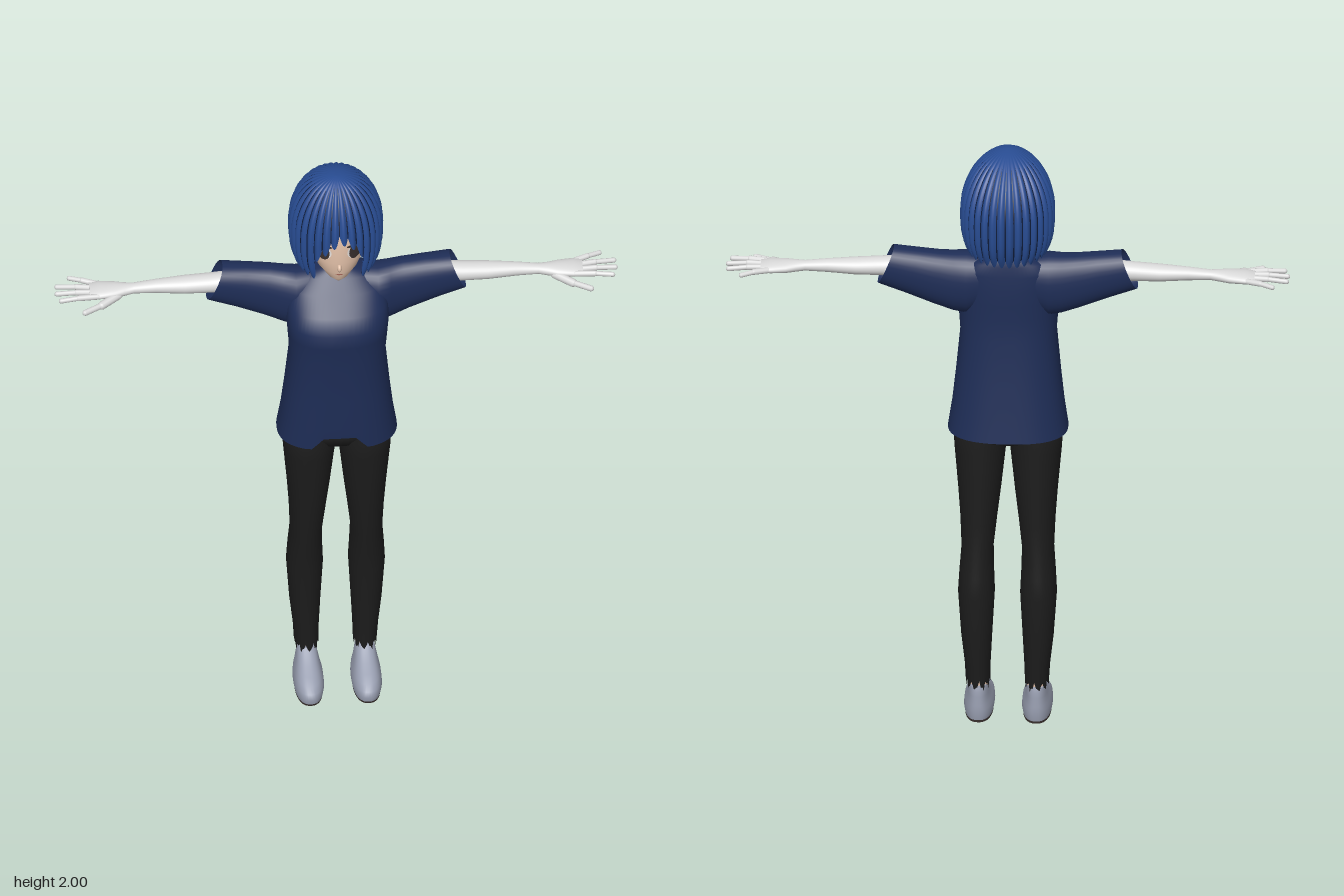
import * as THREE from 'three';

const mat = (name, color, side = THREE.FrontSide) => {
  const m = new THREE.MeshStandardMaterial({ color, side });
  m.name = name;
  return m;
};

// Skin over a list of rings (arrays of Vector3), with optional end caps
function loft(rings, capStart = false, capEnd = false) {
  const n = rings[0].length, pos = [], idx = [];
  rings.forEach(r => r.forEach(p => pos.push(p.x, p.y, p.z)));
  for (let i = 0; i < rings.length - 1; i++)
    for (let j = 0; j < n; j++) {
      const a = i * n + j, b = i * n + (j + 1) % n;
      idx.push(a, a + n, b, b, a + n, b + n);
    }
  const cap = (ring, flip) => {
    const c = ring.reduce((s, p) => s.add(p), new THREE.Vector3()).divideScalar(n);
    const o = pos.length / 3;
    [c, ...ring].forEach(p => pos.push(p.x, p.y, p.z));
    for (let j = 0; j < n; j++) {
      const a = o + 1 + j, b = o + 1 + (j + 1) % n;
      idx.push(o, ...(flip ? [a, b] : [b, a]));
    }
  };
  if (capStart) cap(rings[0], true);
  if (capEnd) cap(rings[rings.length - 1], false);
  const g = new THREE.BufferGeometry();
  g.setAttribute('position', new THREE.Float32BufferAttribute(pos, 3));
  g.setIndex(idx);
  g.computeVertexNormals();
  return g;
}

const pw = (v, e) => Math.sign(v) * Math.abs(v) ** (2 / e);
// Level ring at height y, filling x0..x1 and z0..z1
function levelRing([y, x0, x1, z0, z1], e = 2, n = 48) {
  return Array.from({ length: n }, (_, j) => {
    const t = j / n * Math.PI * 2;
    return new THREE.Vector3((x0 + x1) / 2 + (x1 - x0) / 2 * pw(Math.cos(t), e), y,
      (z0 + z1) / 2 + (z1 - z0) / 2 * pw(Math.sin(t), e));
  });
}
// Upright ring at x, filling y0..y1 and z0..z1, leaning by slant
function sideRing([x, y0, y1, z0, z1, slant = 0], e = 2, n = 32) {
  return Array.from({ length: n }, (_, j) => {
    const t = j / n * Math.PI * 2, dy = (y1 - y0) / 2 * pw(Math.sin(t), e);
    return new THREE.Vector3(x - slant * dy, (y0 + y1) / 2 + dy,
      (z0 + z1) / 2 + (z1 - z0) / 2 * pw(Math.cos(t), e));
  });
}

// Head sections: height, half width, back z, front z
const HEAD = [[1.655, .012, .075, .115], [1.668, .035, .03, .126], [1.70, .066, -.03, .136], [1.74, .09, -.08, .14],
  [1.79, .105, -.12, .139], [1.85, .11, -.13, .134], [1.91, .1, -.12, .114], [1.955, .06, -.08, .07], [1.97, .02, -.03, .02]];
function faceZ(x, y) {
  const i = Math.max(1, HEAD.findIndex(s => s[0] >= y)), a = HEAD[i - 1], b = HEAD[i];
  const [, w, z0, z1] = a.map((v, k) => THREE.MathUtils.lerp(v, b[k], (y - a[0]) / (b[0] - a[0])));
  return (z0 + z1) / 2 + (z1 - z0) / 2 * Math.sqrt(Math.max(0, 1 - (x / w) ** 2));
}
// Thin oval patch that follows the face
function facePatch(x, y, rx, ry, lift) {
  const g = new THREE.CircleGeometry(1, 28).scale(rx, ry, 1).translate(x, y, 0), p = g.attributes.position;
  for (let i = 0; i < p.count; i++) p.setZ(i, faceZ(p.getX(i), p.getY(i)) + lift);
  g.computeVertexNormals();
  return g;
}

// Bob haircut: ridged dome whose hem rises over the face
function hairShell(scale, depth, raise) {
  const cols = 256, rows = 22, rings = [];
  for (let i = 0; i <= rows; i++) {
    const v = 1 - i / rows, ring = [];
    for (let j = 0; j < cols; j++) {
      let a = j / cols * Math.PI * 2;
      const ridge = Math.abs(Math.sin(a * 16));
      if (a > Math.PI) a -= Math.PI * 2;
      let hem = 1.685 - .028 * ridge;
      if (Math.abs(a) < .59) {
        hem = 1.85 - .028 * ridge - .09 * (a / .59) ** 2;
        if (a < 0) hem -= .02 * Math.sin(-a / .59 * Math.PI);
      }
      const y = 2 - (2 - hem - raise) * (1 - Math.cos(v * Math.PI / 2)) - (1 - scale) * .15;
      const f = y > 1.8 ? Math.sqrt(Math.max(0, 1 - ((y - 1.8) / .2) ** 2)) : 1 - .18 * ((1.8 - y) / .145) ** 3;
      const r = f * scale * (1 - depth * Math.min(1, v * 3) * (1 - ridge));
      ring.push(new THREE.Vector3(Math.sin(a) * .15 * r, y, .02 - .032 * f + Math.cos(a) * .169 * r));
    }
    // reversed so the faces turn outward
    rings.push(ring.reverse());
  }
  return loft(rings);
}

export function createModel() {
  const M = {
    hair: mat('hair blue', 0x284c92, THREE.DoubleSide),
    hairDark: mat('hair shadow navy', 0x0f1c3a, THREE.DoubleSide),
    shirt: mat('shirt navy', 0x1e2d56, THREE.DoubleSide),
    pants: mat('trouser black', 0x1c1c1c, THREE.DoubleSide),
    arm: mat('arm pale grey', 0xd9d9d9),
    skin: mat('skin', 0xe2c0a8),
    shoe: mat('shoe grey', 0x989eb0),
    sole: mat('dark brown grey', 0x3a302e),
    white: mat('eye white', 0xf0ebe8),
    lip: mat('lip', 0xb87464)
  };
  const model = new THREE.Group();
  model.name = 'standingFigure';
  const add = (parent, name, geo, material) => {
    const m = new THREE.Mesh(geo, material);
    m.name = name;
    parent.add(m);
    return m;
  };

  // Head, neck and face
  const head = new THREE.Group();
  head.name = 'head';
  model.add(head);
  add(head, 'face', loft(HEAD.map(([y, w, z0, z1]) => levelRing([y, -w, w, z0, z1])), true, true), M.skin);
  add(head, 'neck', new THREE.CylinderGeometry(.034, .042, .16, 24).translate(0, 1.64, 0), M.skin);
  add(head, 'nose', new THREE.SphereGeometry(1, 16, 12).scale(.008, .014, .014).translate(0, 1.722, .138), M.skin);
  add(head, 'mouth', facePatch(0, 1.695, .012, .003, .003), M.lip);
  for (const s of [-1, 1]) {
    add(head, 'eyeWhite', facePatch(s * .053, 1.779, .028, .026, .003), M.white);
    add(head, 'iris', facePatch(s * .051, 1.779, .02, .027, .005), M.sole);
    add(head, 'upperLash', facePatch(s * .054, 1.805, .031, .006, .007), M.sole);
  }
  add(head, 'hairStrands', hairShell(1, .07, 0), M.hair);
  add(head, 'hairUnderlayer', hairShell(.945, 0, .012), M.hairDark);

  // Shirt body with a raised front hem
  const body = [[1.015, .19, -.115, .162], [1.1, .177, -.103, .165], [1.2, .166, -.09, .166], [1.35, .152, -.072, .17],
    [1.43, .158, -.07, .182], [1.48, .162, -.07, .184], [1.53, .16, -.07, .155], [1.58, .148, -.066, .1],
    [1.615, .115, -.062, .06], [1.637, .055, -.055, .042]]
    .map(([y, w, z0, z1]) => levelRing([y, -w, w, z0, z1], 2.5, 64));
  body[0].forEach(p => {
    if (p.z > .05) p.y += .045 * THREE.MathUtils.clamp((.09 - Math.abs(p.x)) / .04, 0, 1);
  });
  add(model, 'shirtBody', loft(body), M.shirt);

  // Hips joining the legs
  add(model, 'hips', loft([[.965, -.03, .03, -.03, .06], [.99, -.13, .13, -.07, .11], [1.03, -.17, .17, -.075, .13],
    [1.12, -.15, .15, -.07, .12]].map(r => levelRing(r, 2.4)), true, true), M.pants);

  for (const s of [1, -1]) {
    const side = new THREE.Group();
    side.name = s > 0 ? 'leftSide' : 'rightSide';
    side.scale.x = s;
    model.add(side);

    // Sleeve and arm
    add(side, 'sleeve', loft([[.05, 1.47, 1.625, -.055, .06], [.13, 1.425, 1.632, -.06, .085], [.17, 1.435, 1.634, -.06, .07],
      [.22, 1.458, 1.638, -.06, .058, .1], [.3, 1.495, 1.645, -.058, .054, .25], [.385, 1.53, 1.652, -.058, .054, .42]]
      .map(r => sideRing(r, 2.3))), M.shirt);
    add(side, 'arm', loft([[.22, 1.545, 1.63, -.04, .04], [.4, 1.553, 1.612, -.036, .036], [.48, 1.553, 1.607, -.034, .033],
      [.57, 1.558, 1.6, -.025, .024], [.64, 1.56, 1.592, -.019, .02], [.67, 1.556, 1.592, -.025, .028],
      [.7, 1.554, 1.592, -.035, .037], [.75, 1.556, 1.59, -.044, .042], [.78, 1.562, 1.583, -.04, .036]]
      .map(r => sideRing(r)), true, true), M.arm);

    // Fingers and thumb as chains of rounded rods
    const rod = (name, a, b, r) => {
      const A = new THREE.Vector3(...a), d = new THREE.Vector3(...b).sub(A);
      const m = add(side, name, new THREE.CapsuleGeometry(r, d.length(), 4, 10), M.arm);
      m.position.copy(A).addScaledVector(d, .5);
      m.quaternion.setFromUnitVectors(new THREE.Vector3(0, 1, 0), d.normalize());
    };
    [[.033, .872, .045], [.011, .883, .008], [-.012, .881, -.028], [-.034, .838, -.07]].forEach(([z0, x1, z1]) => {
      const mid = [(.76 + x1) / 2, 1.575, (z0 + z1) / 2];
      rod('fingerBase', [.755, 1.573, z0], mid, .0095);
      rod('fingerTip', mid, [x1, 1.572, z1], .008);
    });
    rod('thumbBase', [.69, 1.566, .022], [.745, 1.558, .06], .0135);
    rod('thumbTip', [.745, 1.558, .06], [.8, 1.555, .09], .0095);

    // Trouser leg with a frayed hem
    const leg = [[.13, .055, .13, -.075, .035], [.2, .053, .135, -.08, .036], [.3, .048, .146, -.09, .042],
      [.45, .04, .156, -.097, .055], [.52, .043, .152, -.092, .066], [.6, .045, .146, -.08, .08], [.7, .034, .15, -.076, .096],
      [.8, .022, .157, -.077, .11], [.95, .006, .17, -.075, .128], [1.0, .002, .172, -.075, .13], [1.1, .002, .15, -.07, .12]]
      .map(r => levelRing(r, 2.2));
    leg[0].forEach((p, j) => { p.y += .012 * Math.sin(j * 1.3) + .008 * Math.sin(j * 2.9); });
    add(side, 'trouserLeg', loft(leg), M.pants);

    // Ankle, shoe and sole
    add(side, 'ankle', new THREE.CylinderGeometry(.031, .029, .12, 20).translate(.092, .13, -.022), M.skin);
    add(side, 'shoe', loft([[.008, .046, .137, -.068, .163], [.025, .043, .14, -.071, .167], [.045, .045, .138, -.072, .163],
      [.06, .05, .134, -.071, .142], [.075, .054, .13, -.07, .11], [.09, .058, .126, -.069, .075],
      [.108, .061, .123, -.068, .042], [.122, .065, .119, -.064, .02]].map(r => levelRing(r, 2.4)), false, true), M.shoe);
    add(side, 'sole', loft([[0, .047, .136, -.067, .16], [.009, .046, .137, -.068, .163]]
      .map(r => levelRing(r, 2.4)), true, true), M.sole);
  }
  return model;
}
